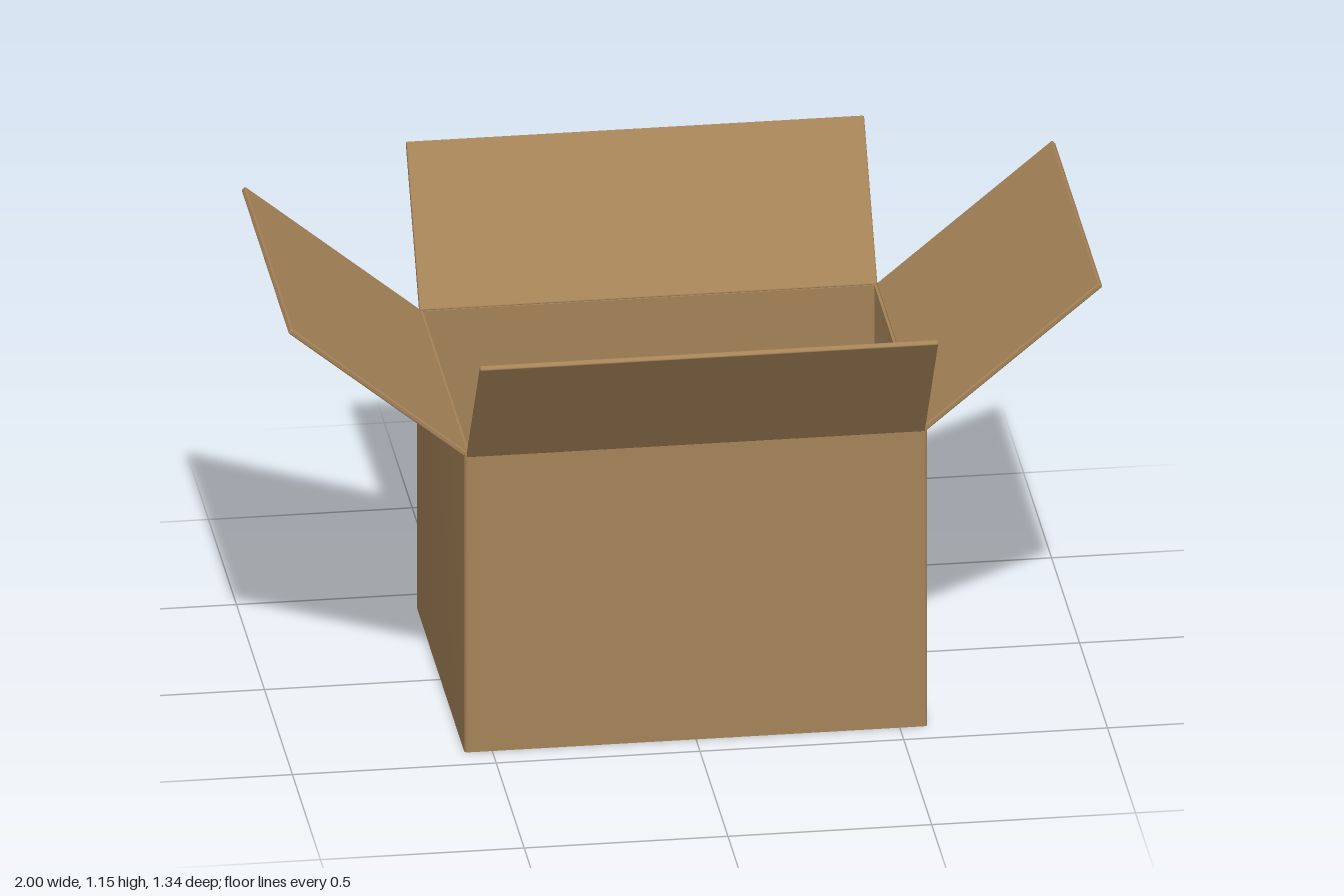
import * as THREE from 'three';
import { toCreasedNormals } from 'three/addons/utils/BufferGeometryUtils.js';
import { RoundedBoxGeometry } from 'three/addons/geometries/RoundedBoxGeometry.js';

const W = 1.136, D = 0.86, H = 0.795, T = 0.014;

// Rounded rectangle outline centred on the origin
function outline(target, w, d, r) {
  const x = w / 2, y = d / 2;
  target.moveTo(-x + r, -y);
  target.lineTo(x - r, -y);
  target.quadraticCurveTo(x, -y, x, -y + r);
  target.lineTo(x, y - r);
  target.quadraticCurveTo(x, y, x - r, y);
  target.lineTo(-x + r, y);
  target.quadraticCurveTo(-x, y, -x, y - r);
  target.lineTo(-x, -y + r);
  target.quadraticCurveTo(-x, -y, -x + r, -y);
  return target;
}

export function createModel() {
  const model = new THREE.Group();
  model.name = 'openCardboardBox';
  const cardboard = new THREE.MeshStandardMaterial({ color: 0xa58358 });
  cardboard.name = 'cardboard';

  const add = (parent, name, geometry) => {
    const mesh = new THREE.Mesh(geometry, cardboard);
    mesh.name = name;
    parent.add(mesh);
    return mesh;
  };

  // Four walls as one folded sleeve
  const sleeve = outline(new THREE.Shape(), W, D, 0.01);
  sleeve.holes.push(outline(new THREE.Path(), W - 2 * T, D - 2 * T, 0.002));
  const walls = new THREE.ExtrudeGeometry(sleeve, { depth: H, bevelEnabled: false, curveSegments: 4 });
  walls.rotateX(-Math.PI / 2);
  add(model, 'walls', toCreasedNormals(walls, 0.6));

  // Floor panel
  const floor = new THREE.BoxGeometry(W - 2 * T, T, D - 2 * T);
  add(model, 'floor', floor).position.y = T / 2;

  // Flaps hinged on the rim: heading, width, length, lean from vertical, hinge distance
  const flaps = [
    ['frontFlap', 0, 1.124, 0.419, 35, 0.424],
    ['leftFlap', 90, 0.842, 0.561, 50.4, 0.563],
    ['backFlap', 180, 1.124, 0.419, 35, 0.424],
    ['rightFlap', 270, 0.842, 0.561, 50.4, 0.563],
  ];
  for (const [name, heading, width, length, lean, out] of flaps) {
    const side = new THREE.Group();
    side.name = name + 'Hinge';
    side.rotation.y = THREE.MathUtils.degToRad(heading);
    const geometry = new RoundedBoxGeometry(width, length, T, 2, 0.004);
    geometry.translate(0, length / 2, 0);
    const flap = add(side, name, geometry);
    flap.position.set(0, H - 0.003, out);
    flap.rotation.x = THREE.MathUtils.degToRad(lean);
    model.add(side);
  }
  return model;
}
